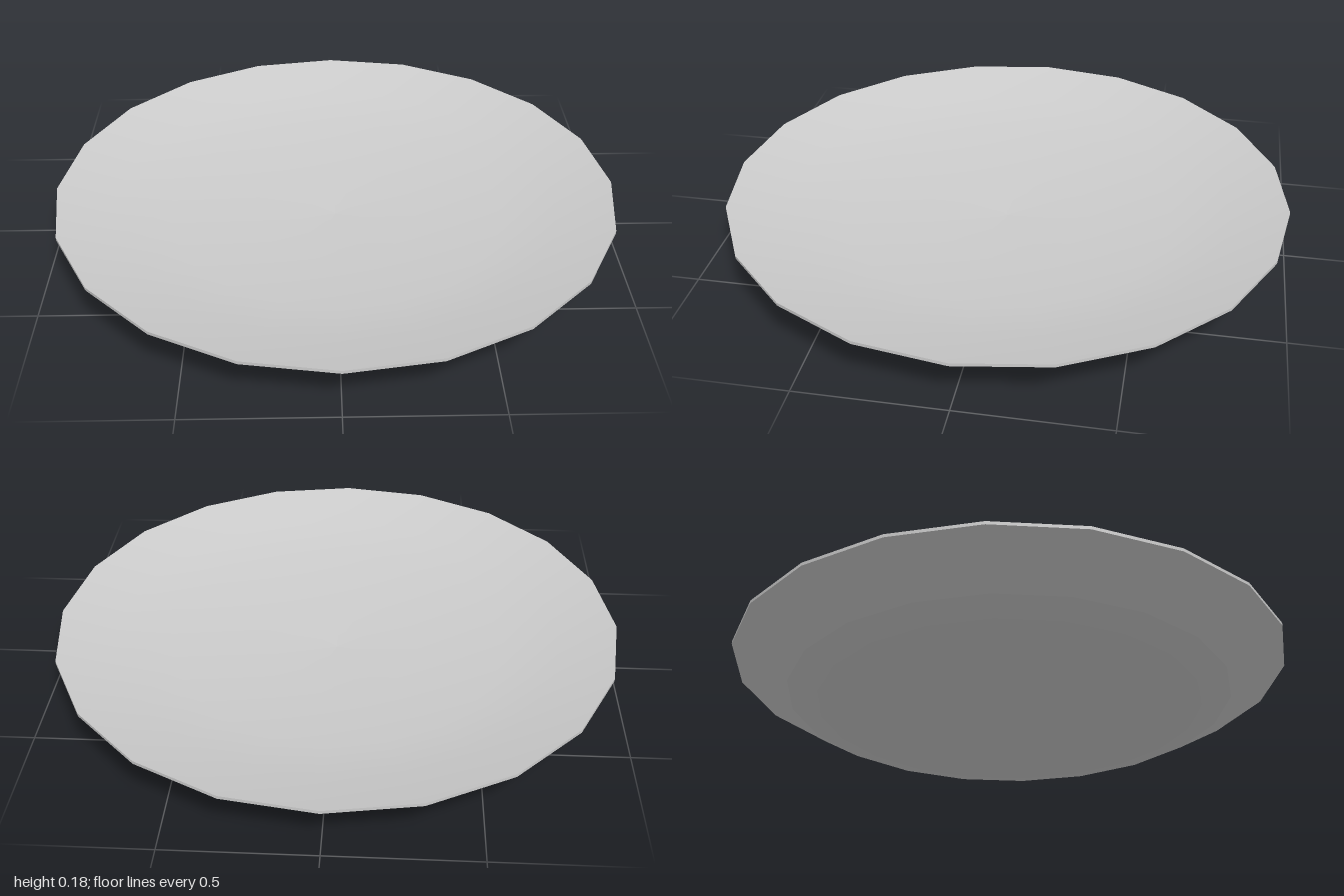
import * as THREE from 'three';

const SIDES = 20;

// Each part runs along one continuous outline: up the outside, over the rim, into the dish.
const PARTS = {
  base: [[0, 0], [0.6, 0], [0.8, 0.055]],
  outerWall: [[0.8, 0.055], [1, 0.172]],
  rim: [[1, 0.172], [1, 0.183]],
  dish: [[1, 0.183], [0.8, 0.13], [0.6, 0.095], [0.3, 0.07], [0, 0.06]],
};

export function createModel() {
  const plate = new THREE.Group();
  plate.name = 'plate';
  const material = new THREE.MeshStandardMaterial({ color: 0xcccccc });

  // Separate lathes keep creases between parts while each part stays smooth.
  for (const [name, outline] of Object.entries(PARTS)) {
    const points = outline.map(([r, y]) => new THREE.Vector2(r, y));
    const mesh = new THREE.Mesh(new THREE.LatheGeometry(points, SIDES), material);
    mesh.name = name;
    plate.add(mesh);
  }
  return plate;
}
